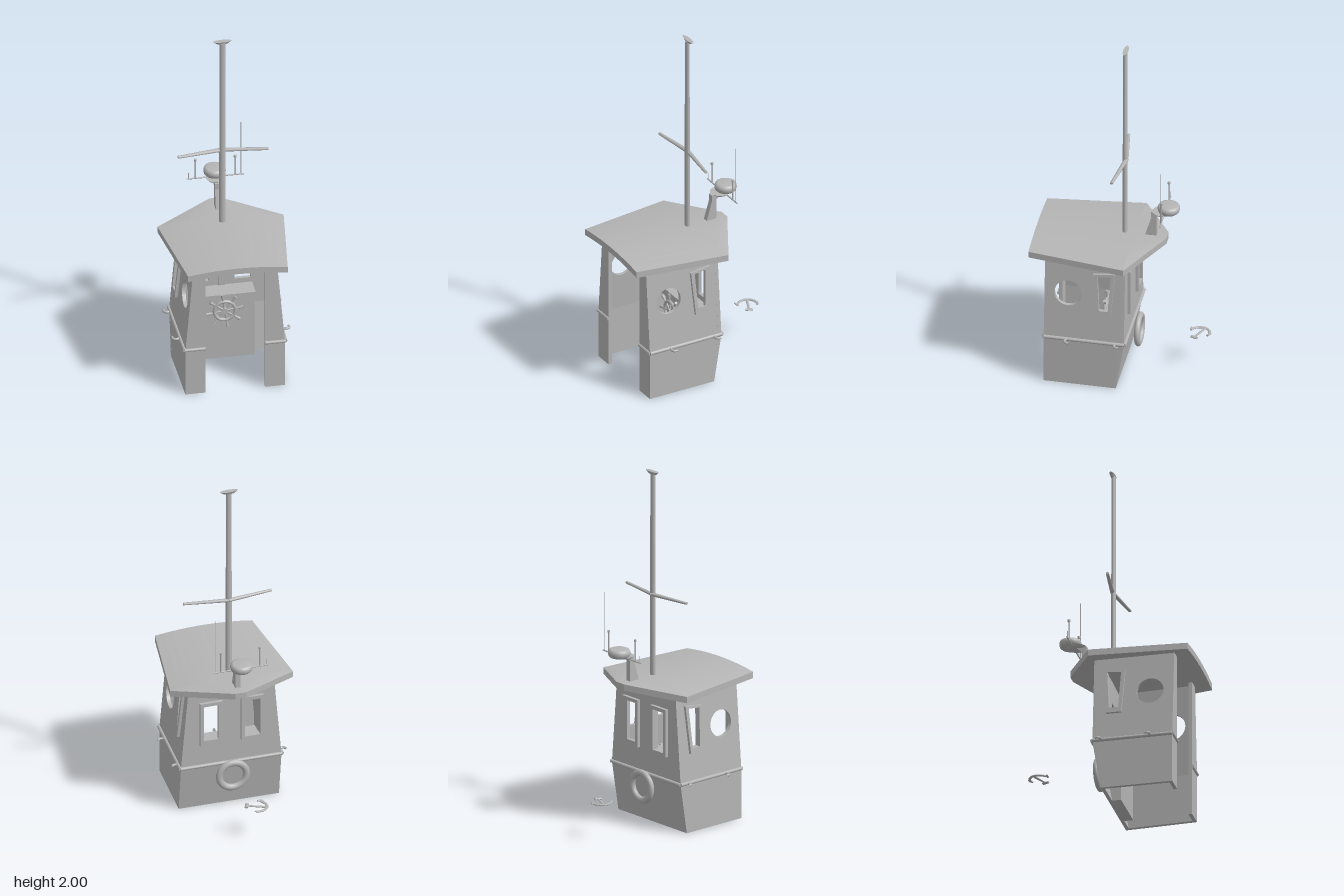
import * as THREE from 'three';

const V = (x, y, z) => new THREE.Vector3(x, y, z);

export function createModel() {
  const model = new THREE.Group();
  const grey = new THREE.MeshStandardMaterial({ color: 0xb5b5b5 });

  const add = (name, geo, x = 0, y = 0, z = 0, parent = model) => {
    const mesh = new THREE.Mesh(geo, grey);
    mesh.name = name;
    mesh.position.set(x, y, z);
    parent.add(mesh);
    return mesh;
  };
  const box = (name, x0, x1, y0, y1, z0, z1) =>
    add(name, new THREE.BoxGeometry(x1 - x0, y1 - y0, z1 - z0), (x0 + x1) / 2, (y0 + y1) / 2, (z0 + z1) / 2);
  // Round bar between two points
  const bar = (name, a, b, r0, r1 = r0, parent = model) => {
    const mesh = add(name, new THREE.CylinderGeometry(r1, r0, a.distanceTo(b), 10), 0, 0, 0, parent);
    mesh.position.copy(a).lerp(b, 0.5);
    mesh.quaternion.setFromUnitVectors(V(0, 1, 0), b.clone().sub(a).normalize());
    return mesh;
  };

  // Cabin surfaces: half width of the sides and position of the back
  const belt = 0.28, front = 0.39, thick = 0.02;
  const halfWidth = (z, y) => 0.275 + 0.01 * (front - z) / 0.445 - 0.042 * Math.max(0, y - belt) / 0.49;
  const backZ = y => -0.01 - 0.045 * Math.min(1, y / belt);
  const polygon = pts => new THREE.Shape(pts.map(p => new THREE.Vector2(p[0], p[1])));

  // Extrudes a flat outline and lays it on a cabin surface; d is height above that surface
  const panel = (name, pts, holes, d0, d1, place) => {
    const shape = polygon(pts);
    shape.holes = holes;
    const geo = new THREE.ExtrudeGeometry(shape, { depth: d1 - d0, bevelEnabled: false, curveSegments: 24 });
    const p = geo.attributes.position;
    for (let i = 0; i < p.count; i++) {
      p.setXYZ(i, ...place(p.getX(i), p.getY(i), p.getZ(i) + d0));
    }
    geo.computeVertexNormals();
    return add(name, geo);
  };
  const onBack = (s, y, d) => [-s, y, backZ(y) - d];

  for (const side of [1, -1]) {
    const onSide = (s, y, d) => [side * (halfWidth(-side * s, y) + d), y, -side * s];
    const zy = pts => pts.map(([z, y]) => [-side * z, y]);

    // Side walls, with porthole and slanted window
    panel('lowerSideWall', zy([[front, 0], [backZ(0), 0], [backZ(belt), belt], [front, belt]]), [], -thick, 0, onSide);
    const porthole = new THREE.Path().absarc(-side * 0.26, 0.565, 0.075, 0, Math.PI * 2);
    const opening = zy([[0.1, 0.69], [0.022, 0.7], [0.036, 0.475], [0.087, 0.475]]);
    panel('upperSideWall', zy([[front, belt], [-0.055, belt], [-0.055, 0.79], [front, 0.79]]),
      [porthole, polygon(opening)], -thick, 0, onSide);
    panel('sideWindowFrame', zy([[0.122, 0.7], [0.0, 0.715], [0.02, 0.445], [0.104, 0.445]]),
      [polygon(opening)], -0.004, 0.016, onSide);

    // Front pillars beside the open doorway
    const pillar = (y0, y1) => panel('frontPillar',
      [[side * 0.165, y0], [side * halfWidth(front, y0), y0], [side * halfWidth(front, y1), y1], [side * 0.165, y1]],
      [], -thick, 0, (x, y, d) => [x, y, front + d]);
    pillar(0, belt);
    pillar(belt, 0.79);

    // Frames of the back windows
    const outer = [[0.052, 0.42], [0.18, 0.42], [0.18, 0.69], [0.052, 0.69]].map(([x, y]) => [side * x, y]);
    const inner = [[0.072, 0.44], [0.16, 0.44], [0.16, 0.67], [0.072, 0.67]].map(([x, y]) => [side * x, y]);
    panel('backWindowFrame', outer, [polygon(inner)], -0.004, 0.018, onBack);

    // Belt rail and its hooks
    const y = 0.285, f = V(side * 0.278, y, front), b = V(side * 0.288, y, -0.058);
    bar('sideRail', f, b, 0.01);
    bar('frontRail', V(side * 0.165, y, front), f, 0.01);
    for (const z of [0.262, -0.012]) {
      const hook = new THREE.CatmullRomCurve3(
        [V(0.28, y, z), V(0.305, y, z + 0.008), V(0.32, y, z), V(0.322, y, z - 0.018)].map(p => V(side * p.x, p.y, p.z)));
      add('railHook', new THREE.TubeGeometry(hook, 10, 0.007, 8));
    }
  }
  bar('backRail', V(-0.288, 0.285, -0.058), V(0.288, 0.285, -0.058), 0.01);

  // Back wall
  const w0 = halfWidth(backZ(0), 0), w1 = halfWidth(-0.055, belt), w2 = halfWidth(-0.055, 0.79);
  panel('lowerBackWall', [[-w0, 0], [w0, 0], [w1, belt], [-w1, belt]], [], -thick, 0, onBack);
  const holes = [1, -1].map(s => polygon([[0.072, 0.44], [0.16, 0.44], [0.16, 0.67], [0.072, 0.67]].map(([x, y]) => [s * x, y])));
  panel('upperBackWall', [[-w1, belt], [w1, belt], [w2, 0.79], [0, 0.815], [-w2, 0.79]], holes, -thick, 0, onBack);

  // Cambered roof lofted from cross-sections
  const rows = [[-0.243, 0.03], [-0.063, 0.348], [0.475, 0.275]], n = 12, ring = 2 * (n + 1);
  const pos = [], idx = [];
  for (const [z, hw] of rows) {
    for (let k = 0; k < ring; k++) {
      const top = k <= n, u = -1 + 2 * (top ? k : ring - 1 - k) / n, x = u * hw;
      pos.push(x, 0.838 - 0.033 * (x / 0.348) ** 2 - (top ? 0 : 0.036), z);
    }
  }
  for (let r = 0; r < 2; r++) {
    for (let k = 0; k < ring; k++) {
      const a = r * ring + k, b = r * ring + (k + 1) % ring;
      idx.push(a, a + ring, b, b, a + ring, b + ring);
    }
  }
  for (let k = 0; k < n; k++) {
    const a = k, b = k + 1, c = ring - 2 - k, d = ring - 1 - k, e = 2 * ring;
    idx.push(a, b, c, a, c, d, e + a, e + c, e + b, e + a, e + d, e + c);
  }
  let roof = new THREE.BufferGeometry();
  roof.setAttribute('position', new THREE.Float32BufferAttribute(pos, 3));
  roof.setIndex(idx);
  roof = roof.toNonIndexed();
  roof.computeVertexNormals();
  add('roof', roof);

  // Interior console and steering wheel
  box('console', -0.105, 0.165, 0, 0.37, -0.008, 0.06);
  box('consoleShelf', -0.17, 0.17, 0.37, 0.41, -0.035, 0.07);
  box('windowPost', -0.018, 0.018, 0.41, 0.72, -0.036, -0.028);
  const wheel = new THREE.Group();
  wheel.name = 'steeringWheel';
  wheel.position.set(-0.005, 0.325, 0.095);
  model.add(wheel);
  add('wheelRim', new THREE.TorusGeometry(0.058, 0.009, 8, 32), 0, 0, 0, wheel);
  add('wheelHub', new THREE.CylinderGeometry(0.018, 0.018, 0.024, 16).rotateX(Math.PI / 2), 0, 0, 0, wheel);
  bar('wheelShaft', V(0, 0, -0.04), V(0, 0, 0), 0.008, 0.008, wheel);
  for (let i = 0; i < 8; i++) {
    const a = i * Math.PI / 4 + 0.15, at = r => V(Math.cos(a) * r, Math.sin(a) * r, 0);
    bar('wheelSpoke', at(0.01), at(0.07), 0.005, 0.005, wheel);
    bar('wheelHandle', at(0.068), at(0.102), 0.005, 0.009, wheel);
  }

  // Mast with cap and swept yard
  const mast = add('mast', new THREE.CylinderGeometry(0.016, 0.018, 1.17, 16), 0, 1.405, -0.008);
  mast.scale.z = 0.75;
  const cap = add('mastCap', new THREE.CylinderGeometry(0.052, 0.03, 0.016, 24), 0, 1.992, -0.012);
  cap.scale.z = 0.28;
  for (const s of [1, -1]) bar('yard', V(0, 1.297, -0.014), V(s * 0.25, 1.297, 0.02), 0.013, 0.009).scale.x = 0.8;

  // Radar on its leaning bracket
  const arm = new THREE.ExtrudeGeometry(
    polygon([[0.117, 0.82], [0.185, 0.82], [0.185, 0.955], [0.215, 0.985], [0.155, 0.985], [0.155, 0.95]]),
    { depth: 0.03, bevelEnabled: false });
  arm.rotateY(Math.PI / 2);
  add('radarBracket', arm, -0.015, 0, 0);
  add('radarPlate', new THREE.CylinderGeometry(0.055, 0.045, 0.01, 28), 0, 0.985, -0.215);
  const dome = [[0, 0.99], [0.05, 0.99], [0.058, 0.998], [0.061, 1.01], [0.061, 1.02], [0.056, 1.031], [0.045, 1.036], [0, 1.037]];
  add('radarDome', new THREE.LatheGeometry(dome.map(p => new THREE.Vector2(...p)), 32), 0, 0, -0.25);

  // Aerials on a crossbar
  bar('aerialCrossbar', V(-0.158, 0.986, -0.23), V(0.158, 0.986, -0.23), 0.004);
  for (const [x, top, r] of [[-0.147, 1.025, 0.002], [-0.11, 1.11, 0.004], [0.11, 1.11, 0.004], [0.143, 1.32, 0.002]]) {
    bar('aerial', V(x, 0.986, -0.23), V(x, top, -0.23), r);
    if (r > 0.003) add('aerialTip', new THREE.CylinderGeometry(0.008, 0.008, 0.012, 10), x, top - 0.006, -0.23);
  }

  // Life ring on the back
  const lifeRing = add('lifeRing', new THREE.TorusGeometry(0.077, 0.019, 14, 40), 0, 0.215, -0.088);
  lifeRing.scale.z = 0.85;

  // Anchor lying flat behind the cabin
  const anchor = new THREE.Group();
  anchor.name = 'anchor';
  anchor.position.y = 0.205;
  anchor.scale.y = 0.6;
  model.add(anchor);
  bar('anchorShank', V(-0.092, 0, -0.437), V(0.012, 0, -0.392), 0.008, 0.006, anchor);
  bar('anchorStock', V(0.019, 0, -0.409), V(0.004, 0, -0.374), 0.01, 0.01, anchor);
  const arms = new THREE.CatmullRomCurve3(
    [V(-0.024, 0, -0.468), V(-0.062, 0, -0.462), V(-0.09, 0, -0.437), V(-0.092, 0, -0.4), V(-0.072, 0, -0.366)]);
  add('anchorArms', new THREE.TubeGeometry(arms, 24, 0.008, 8), 0, 0, 0, anchor);
  for (const [a, b] of [[V(-0.042, 0, -0.476), V(-0.016, 0, -0.458)], [V(-0.09, 0, -0.36), V(-0.058, 0, -0.362)]]) {
    bar('anchorFluke', a, b, 0.004, 0.007, anchor);
  }
  return model;
}
